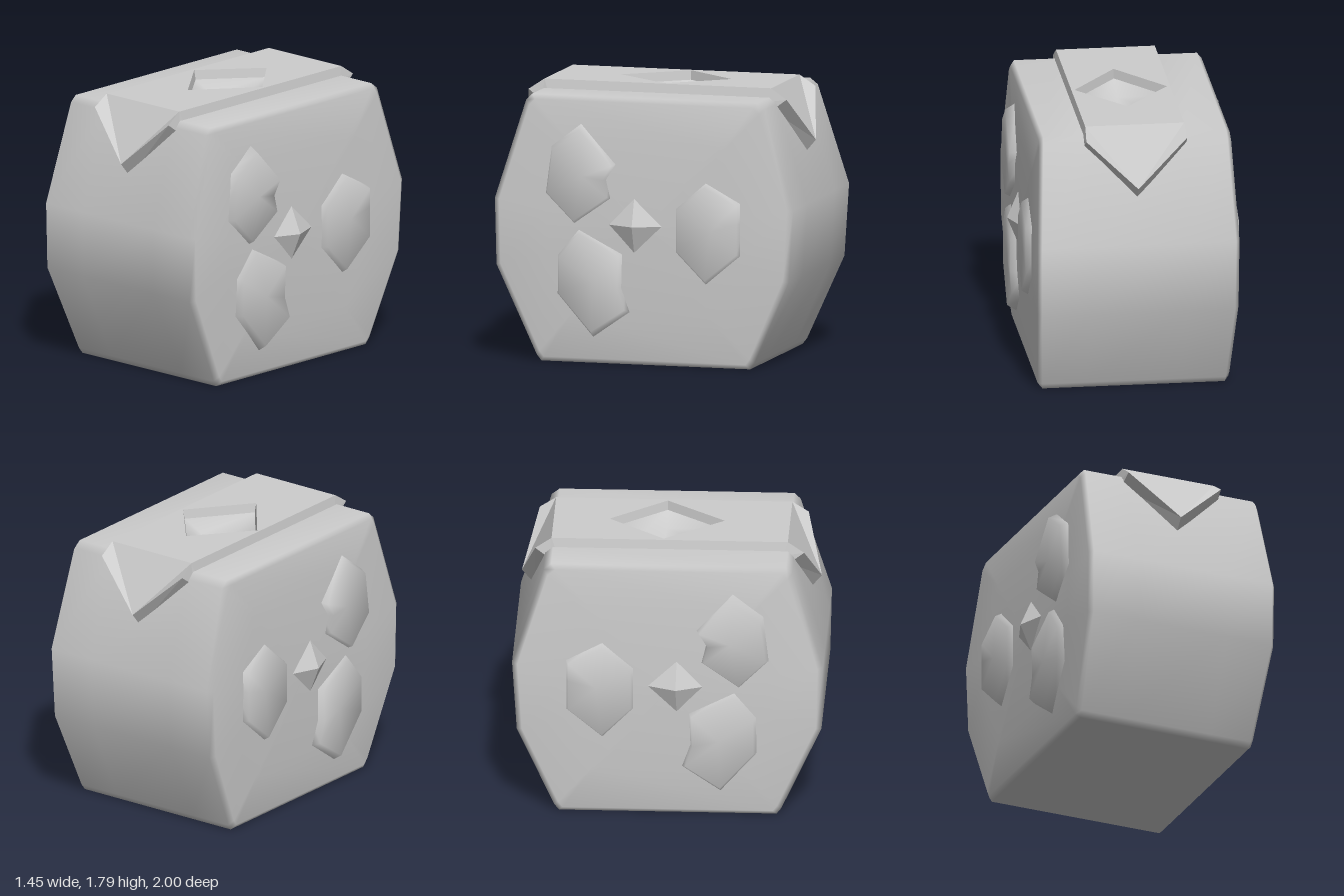
import * as THREE from 'three';

// Closed loops of [x, y, z] points joined into a skin; skip(r, i) leaves a gap
function loft(rings, { flip = false, flat = false, skip = () => false } = {}) {
  const n = rings[0].length, index = [];
  for (let r = 0; r < rings.length - 1; r++) {
    for (let i = 0; i < n; i++) {
      if (skip(r, i)) continue;
      const j = (i + 1) % n;
      const a = r * n + i, b = r * n + j, c = b + n, d = a + n;
      if (flip) index.push(a, b, c, a, c, d);
      else index.push(a, d, c, a, c, b);
    }
  }
  let geo = new THREE.BufferGeometry();
  geo.setAttribute('position', new THREE.Float32BufferAttribute(rings.flat(2), 3));
  geo.setIndex(index);
  if (flat) geo = geo.toNonIndexed();
  geo.computeVertexNormals();
  return geo;
}

export function createModel() {
  const group = new THREE.Group();
  const grey = new THREE.MeshStandardMaterial({ color: 0xcccccc });
  grey.name = 'light grey';
  const add = (name, geo) => {
    const mesh = new THREE.Mesh(geo, grey);
    mesh.name = name;
    group.add(mesh);
  };

  // Body: side profile [z, y] carried across the width, with bulging sides
  const profile = [[0.76, 1.73], [0.8, 1.69], [1, 1.05], [0.99, 0.62], [0.73, 0.04], [0.7, 0],
    [-0.7, 0], [-0.73, 0.04], [-0.97, 0.58], [-1, 1.05], [-0.8, 1.69], [-0.75, 1.73]];
  const mid = 0.88;
  const sideX = y => 0.655 - 0.04 * ((y - mid) / mid) ** 2;
  const bodyRing = (scale, x) => profile.map(([z, y]) => {
    const py = mid + (y - mid) * scale;
    return [x(py), py, z * scale];
  });
  const half = [
    ...[0, 0.33, 0.65, 0.965].map(s => bodyRing(s, sideX)),
    bodyRing(1, y => sideX(y) - 0.025),
    bodyRing(1, () => 0.31),
  ];
  const mirrored = half.map(ring => ring.map(([x, y, z]) => [-x, y, z])).reverse();
  // The top is left open under the strap, where the recess sits
  add('body', loft([...half, ...mirrored], { skip: (r, i) => r === 5 && i === 11 }));

  // Raised pads and a pointed stud on both sides, outlines as [z, y]
  const pads = {
    upperPad: [[0.42, 1.54], [0.61, 1.4], [0.65, 1.1], [0.46, 0.91], [0.22, 1.08], [0.25, 1.2], [0.19, 1.3]],
    lowerPad: [[0.43, 0.87], [0.57, 0.7], [0.57, 0.45], [0.34, 0.19], [0.1, 0.35], [0.15, 0.5], [0.14, 0.72]],
    rearPad: [[-0.42, 1.2], [-0.22, 1.03], [-0.22, 0.75], [-0.42, 0.55], [-0.65, 0.74], [-0.65, 0.95], [-0.65, 1.08]],
  };
  const stud = [[0.06, 1.1], [0.25, 0.91], [0.06, 0.715], [-0.15, 0.91]];
  const sideRing = (points, scale, x) => {
    const cz = points.reduce((sum, p) => sum + p[0], 0) / points.length;
    const cy = points.reduce((sum, p) => sum + p[1], 0) / points.length;
    return points.map(([z, y]) => [x, cy + (y - cy) * scale, cz + (z - cz) * scale]);
  };
  for (const [side, s] of [['left', 1], ['right', -1]]) {
    for (const [name, points] of Object.entries(pads)) {
      add(`${side} ${name}`, loft([
        sideRing(points, 0, 0.69 * s),
        sideRing(points, 0.93, 0.69 * s),
        sideRing(points, 1.08, 0.61 * s),
      ], { flip: s < 0 }));
    }
    add(`${side} stud`, loft([sideRing(stud, 0, 0.725 * s), sideRing(stud, 1, 0.645 * s)],
      { flip: s < 0, flat: true }));
  }

  // Strap over the top: plate with a diamond opening
  const top = 1.79;
  const diamond = [[0, 0.34], [0.3, -0.04], [0, -0.4], [-0.3, -0.04]];
  const plate = new THREE.Shape([[-0.32, -0.76], [0.32, -0.76], [0.32, 0.76], [-0.32, 0.76]]
    .map(([x, y]) => new THREE.Vector2(x, y)));
  plate.holes.push(new THREE.Path(diamond.map(([x, z]) => new THREE.Vector2(x, -z))));
  add('strap top', new THREE.ShapeGeometry(plate).rotateX(-Math.PI / 2).translate(0, top, 0));

  // Pointed strap ends folding down over the front and back
  const end = [[0.32, top, 0.76], [0.325, 1.72, 0.865], [0, 1.42, 0.965],
    [-0.325, 1.72, 0.865], [-0.32, top, 0.76]];
  const base = [[0.335, 1.7, 0.73], [0.335, 1.65, 0.77], [0, 1.32, 0.88],
    [-0.335, 1.65, 0.77], [-0.335, 1.7, 0.73]];
  const turn = points => points.map(([x, y, z]) => [-x, y, -z]);
  for (const [name, points] of [['front strap end', end], ['back strap end', turn(end)]]) {
    const geo = new THREE.BufferGeometry();
    geo.setAttribute('position', new THREE.Float32BufferAttribute(points.flat(), 3));
    geo.setIndex([2, 1, 0, 2, 0, 4, 2, 4, 3]);
    const flat = geo.toNonIndexed();
    flat.computeVertexNormals();
    add(name, flat);
  }
  add('strap edge', loft([[...end, ...turn(end)], [...base, ...turn(base)]], { flip: true, flat: true }));

  // Diamond recess: short wall and a dished floor
  const recessRing = (scale, y) => diamond.map(([x, z]) => [x * scale, y, -0.04 + (z + 0.04) * scale]);
  add('recess wall', loft([recessRing(1, top), recessRing(0.96, 1.73)], { flip: true, flat: true }));
  add('recess floor', loft([recessRing(0.96, 1.73), recessRing(0.5, 1.66), recessRing(0, 1.63)], { flip: true }));

  return group;
}
